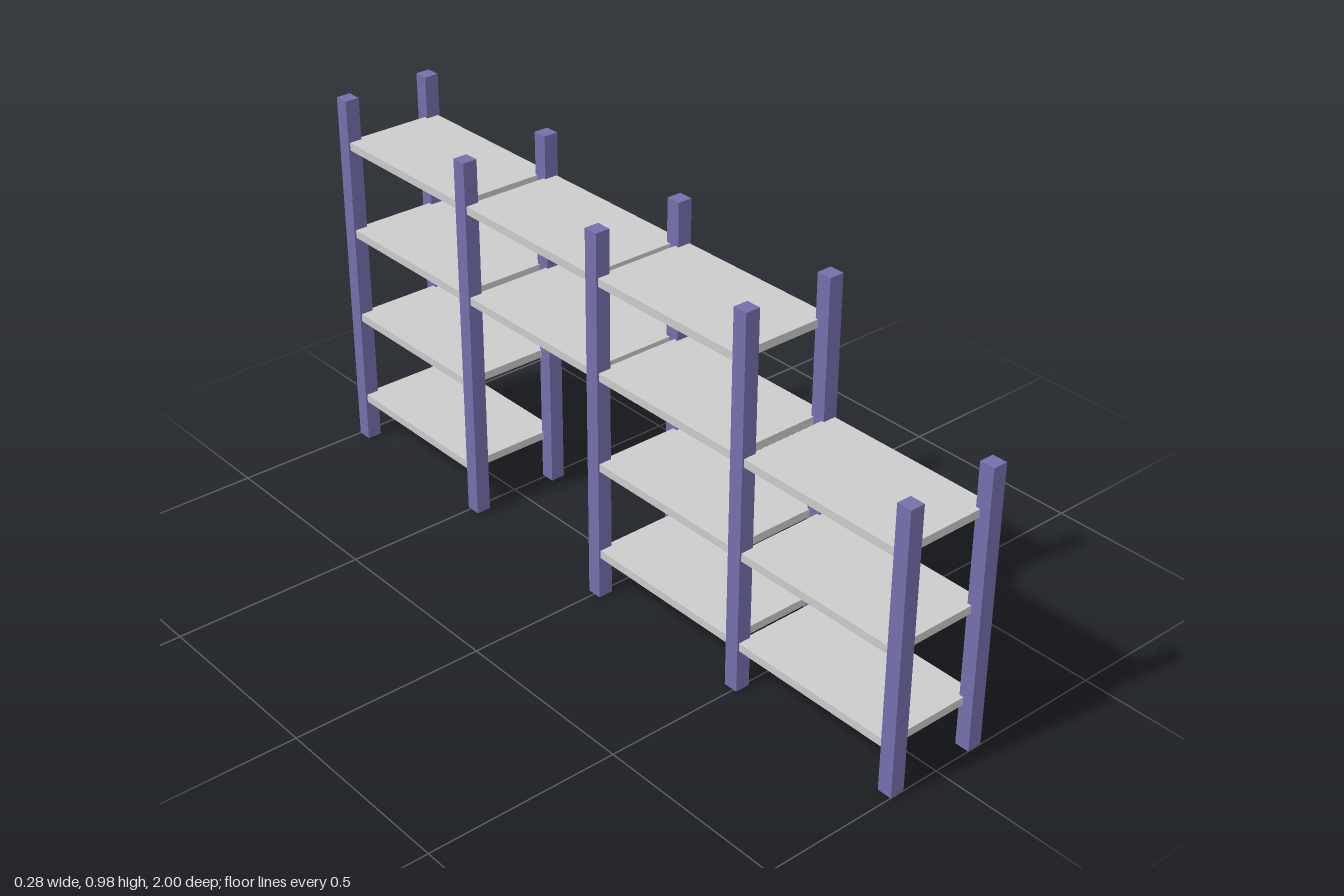
import * as THREE from 'three';

const POST = 0.039;         // square post thickness
const POST_X = 0.122;       // post centre from the midline
const PITCH = 0.4905;       // distance between post rows
const TALL = 0.98;
const SHORT = 0.735;
const LEVEL_0 = 0.1235;     // lowest shelf height
const LEVEL_STEP = 0.2445;

export function createModel() {
  const rack = new THREE.Group();
  rack.name = 'shelvingRack';
  const postMaterial = new THREE.MeshStandardMaterial({ color: 0x746fab });
  const shelfMaterial = new THREE.MeshStandardMaterial({ color: 0xcccccc });

  function addBox(name, size, position, material) {
    const mesh = new THREE.Mesh(new THREE.BoxGeometry(...size), material);
    mesh.name = name;
    mesh.position.set(...position);
    rack.add(mesh);
  }

  // Five pairs of posts; the front pair is shorter
  for (let row = 0; row < 5; row++) {
    const height = row === 0 ? SHORT : TALL;
    const z = (2 - row) * PITCH;
    for (const side of [-1, 1]) {
      addBox(side > 0 ? 'leftPost' : 'rightPost',
        [POST, height, POST], [side * POST_X, height / 2, z], postMaterial);
    }
  }

  // Shelf levels in each bay, front to back; the third bay is an open passage below
  const bays = [
    { z: 0.738, levels: [0, 1, 2] },
    { z: 0.243, levels: [0, 1, 2, 3] },
    { z: -0.243, levels: [2, 3] },
    { z: -0.738, levels: [0, 1, 2, 3] },
  ];
  for (const { z, levels } of bays) {
    for (const level of levels) {
      addBox('shelf', [0.274, 0.021, 0.47],
        [0, LEVEL_0 + level * LEVEL_STEP, z], shelfMaterial);
    }
  }

  return rack;
}
